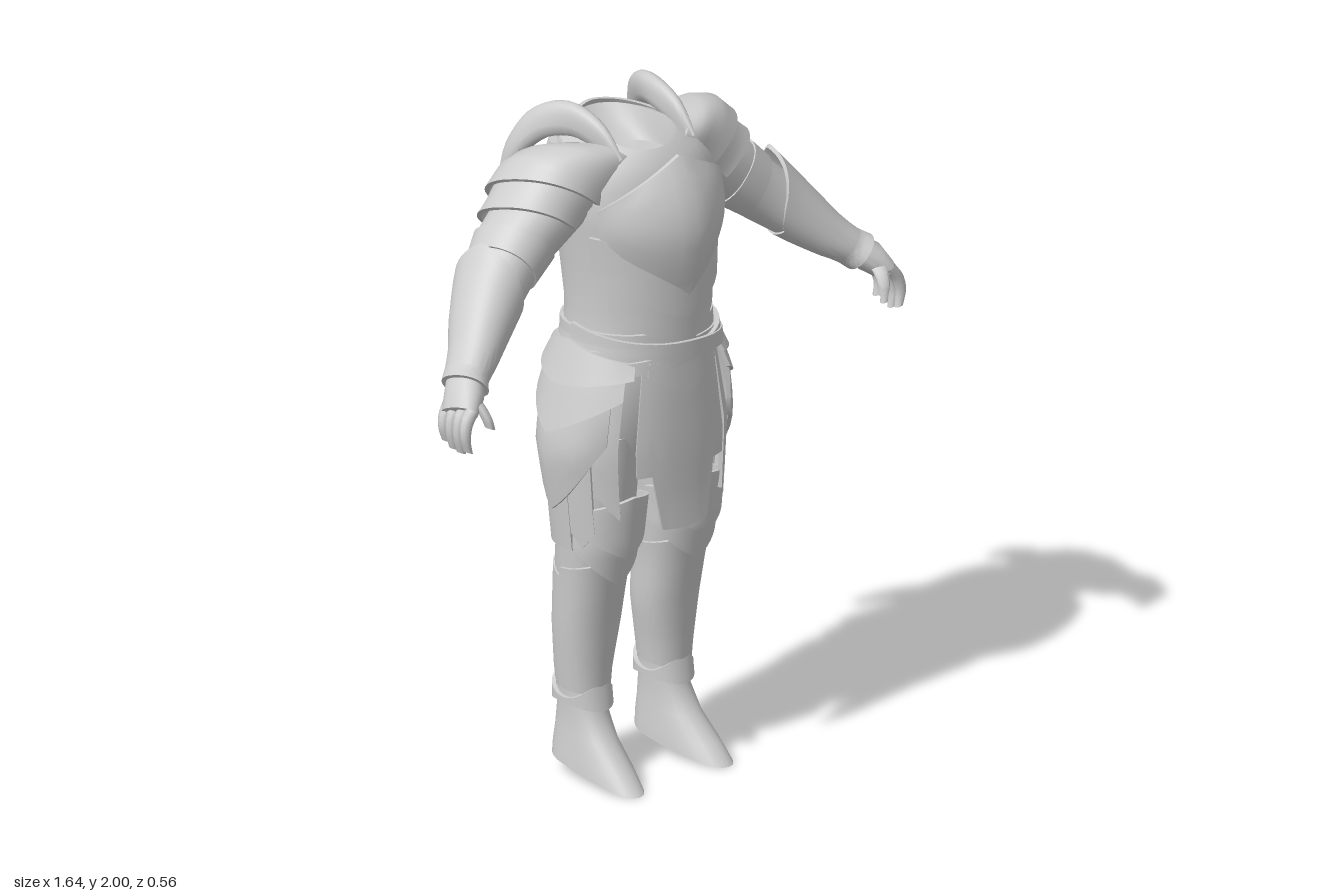
import * as THREE from 'three';
import { toCreasedNormals } from 'three/addons/utils/BufferGeometryUtils.js';

const steel = new THREE.MeshStandardMaterial({ color: 0xcccccc, side: THREE.DoubleSide });
steel.name = 'pale steel';
const V = (x, y, z) => new THREE.Vector3(x, y, z);
const rad = THREE.MathUtils.degToRad;

// Grid of points turned into a mesh with sharp plate edges
function gridMesh(name, nu, nv, point) {
  const pos = [], index = [];
  for (let j = 0; j <= nv; j++) for (let i = 0; i <= nu; i++) pos.push(...point(i, j).toArray());
  for (let j = 0; j < nv; j++) for (let i = 0; i < nu; i++) {
    const a = j * (nu + 1) + i, b = a + nu + 1;
    index.push(a, b, a + 1, a + 1, b, b + 1);
  }
  const g = new THREE.BufferGeometry();
  g.setAttribute('position', new THREE.Float32BufferAttribute(pos, 3));
  g.setIndex(index);
  const mesh = new THREE.Mesh(toCreasedNormals(g, 0.7), steel);
  mesh.name = name;
  return mesh;
}

// Surface from rows [t, cx, cy, cz, side radius, front radius, back radius]
function surface(rows, X = V(1, 0, 0), Z = V(0, 0, 1)) {
  const down = rows[0][0] > rows[1][0] ? -1 : 1;
  const at = (a, t, off = 0) => {
    let k = 0;
    while (k < rows.length - 2 && (t - rows[k + 1][0]) * down > 0) k++;
    const f = (t - rows[k][0]) / (rows[k + 1][0] - rows[k][0]);
    const r = rows[k].map((v, i) => v + (rows[k + 1][i] - v) * f);
    const s = Math.sin(a), c = Math.cos(a), bend = v => Math.sign(v) * Math.abs(v) ** 0.9;
    return V(r[1], r[2], r[3]).addScaledVector(X, bend(s) * (r[4] + off))
      .addScaledVector(Z, bend(c) * ((c > 0 ? r[5] : r[6]) + off));
  };
  at.rows = rows;
  return at;
}
const upright = rows => surface(rows.map(([y, cx, cz, ...r]) => [y, cx, y, cz, ...r]));

// Full closed tube over a surface
function tube(name, at, capTop = true, capEnd = true, bendPoint = p => p) {
  const ts = at.rows.map(r => r[0]), n = ts.length, N = 28;
  return gridMesh(name, N, n + 1, (i, j) => {
    const k = Math.min(Math.max(j - 1, 0), n - 1), r = at.rows[k];
    const center = (j === 0 && capTop) || (j === n + 1 && capEnd);
    return bendPoint(center ? V(r[1], r[2], r[3]) : at(i / N * Math.PI * 2, ts[k]));
  });
}

// Raised plate wrapped on a surface; u runs -1..1 across, v runs 0..1 down
const val = (f, ...x) => typeof f === 'function' ? f(...x) : f;
function plate(name, at, a0, a1, top, bottom, off = 0.015) {
  const nu = Math.max(12, Math.ceil((a1 - a0) / 8 / 2) * 2), nv = 8;
  return gridMesh(name, nu + 2, nv + 2, (i, j) => {
    const rim = i === 0 || j === 0 || i === nu + 2 || j === nv + 2;
    const s = THREE.MathUtils.clamp((i - 1) / nu, 0, 1), v = THREE.MathUtils.clamp((j - 1) / nv, 0, 1);
    const u = s * 2 - 1, t0 = val(top, u), t1 = val(bottom, u);
    const o = val(off, u, v);
    return at(rad(a0 + (a1 - a0) * s), t0 + (t1 - t0) * v, rim ? o - 0.012 : o);
  });
}
const vee = (tip, rise) => u => tip + rise * Math.abs(u);

const torso = upright([
  [1.915, 0, 0, 0.115, 0.12, 0.19], [1.885, 0, 0, 0.19, 0.15, 0.215], [1.8, 0, 0, 0.24, 0.175, 0.218],
  [1.68, 0, 0, 0.228, 0.19, 0.202], [1.55, 0, 0, 0.214, 0.195, 0.18], [1.42, 0, 0, 0.208, 0.195, 0.155],
  [1.34, 0, 0, 0.212, 0.195, 0.155], [1.24, 0, 0, 0.23, 0.195, 0.17], [1.1, 0, 0, 0.24, 0.17, 0.165],
  [1, 0, 0, 0.23, 0.14, 0.15]]);
const skirt = upright([
  [1.34, 0, 0, 0.212, 0.195, 0.16], [1.2, 0, 0, 0.245, 0.2, 0.175], [1.02, 0, 0, 0.283, 0.205, 0.17],
  [0.85, 0, 0, 0.27, 0.205, 0.16], [0.7, 0, 0, 0.255, 0.215, 0.15]]);

function buildTorso() {
  const g = new THREE.Group();
  g.name = 'torso';
  // The neckline dips towards the front
  const dip = p => V(p.x, p.y - 0.22 * Math.max(0, p.z) * THREE.MathUtils.clamp((p.y - 1.82) / 0.08, 0, 1), p.z);
  g.add(tube('torsoShell', torso, false, true, dip));
  g.add(tube('neckOpening', upright([[1.915, 0, 0, 0.115, 0.12, 0.19], [1.87, 0, 0, 0.105, 0.11, 0.15],
    [1.83, 0, 0.01, 0.1, 0.1, 0.1]]), false, true, dip));
  g.add(plate('backCollar', upright([[1.95, 0, 0, 0.105, 0.1, 0.17], [1.86, 0, 0, 0.16, 0.14, 0.21]]),
    85, 275, u => 1.935 - 0.025 * Math.abs(u), 1.87, 0.012));
  // Chest and belly armour
  g.add(plate('bellyPlate', torso, -60, 60, 1.6, vee(1.31, 0.13), u => 0.008 + 0.012 * (1 - Math.abs(u))));
  g.add(plate('ribPlate', torso, -72, 72, 1.66, vee(1.41, 0.12), u => 0.014 + 0.022 * (1 - Math.abs(u))));
  g.add(plate('breastplate', torso, -62, 62, u => 1.885 - 0.14 * Math.abs(u), u => 1.48 + 0.17 * Math.abs(u) ** 0.8,
    (u, v) => 0.014 + (1 - Math.abs(u)) * (0.03 + 0.045 * Math.sin(Math.PI * v))));
  // Back chevrons
  [[1.46, 0.14, 55], [1.58, 0.15, 60], [1.69, 0.13, 56]].forEach(([tip, rise, h], i) =>
    g.add(plate('backChevron', torso, 180 - h, 180 + h, 1.87, vee(tip, rise), 0.006 + i * 0.007)));
  // Belts and crossing sash
  g.add(plate('belt', torso, 0, 360, 1.37, 1.32, 0.01));
  g.add(plate('lowerBelt', torso, 0, 360, u => 1.31 - 0.02 * Math.cos(u * Math.PI), u => 1.26 - 0.02 * Math.cos(u * Math.PI), 0.016));
  g.add(plate('sash', torso, -90, 90, u => 1.335 - 0.05 * u, u => 1.29 - 0.05 * u, u => 0.036 - 0.016 * u * u));
  g.add(plate('sash', torso, -60, 85, u => 1.315 + 0.03 * u, u => 1.275 + 0.03 * u, u => 0.03 - 0.012 * u * u));
  // Front tabard and rear chevrons over the skirt
  g.add(plate('tabard', skirt, -30, 30, 1.26, u => Math.abs(u) > 0.64 ? 0.95 : 0.775 + 0.02 * Math.abs(u), 0.016));
  g.add(plate('buckleFlap', skirt, -26, 26, 1.29, vee(1.17, 0.08), 0.026));
  [[1.05, 0.12, 36], [1.14, 0.1, 42]].forEach(([tip, rise, h], i) =>
    g.add(plate('rearFlap', skirt, 180 - h, 180 + h, 1.28, vee(tip, rise), (u, v) => 0.014 + i * 0.008 + 0.01 * v)));
  return g;
}

function buildHip() {
  const g = new THREE.Group();
  g.name = 'hipPlates';
  g.add(plate('backSkirtPanel', skirt, 82, 177, 1.3, 0.715, 0.006));
  g.add(plate('thighStrip', skirt, 42, 60, 1.25, u => 0.86 + 0.04 * u, 0.002));
  g.add(plate('thighStrip', skirt, 62, 84, 1.25, u => 0.73 + 0.05 * Math.abs(u), 0.004));
  g.add(plate('longTasset', skirt, 50, 142, 1.3, u => 0.83 + 0.22 * Math.abs(u) ** 1.2,
    (u, v) => 0.016 + 0.012 * Math.sin(v * Math.PI)));
  g.add(plate('shortTasset', skirt, 42, 146, vee(1.31, -0.03), vee(1.07, 0.12), (u, v) => 0.018 + 0.02 * v));
  g.add(plate('hipBand', skirt, 36, 152, vee(1.33, -0.04), vee(1.21, 0.04), (u, v) => 0.02 + 0.018 * v));
  return g;
}

function buildLeg() {
  const g = new THREE.Group();
  g.name = 'leg';
  const leg = upright([
    [1.05, 0.13, 0, 0.11, 0.13, 0.13], [0.85, 0.14, 0, 0.108, 0.115, 0.12], [0.72, 0.143, 0, 0.102, 0.1, 0.11],
    [0.6, 0.146, -0.01, 0.09, 0.078, 0.112], [0.45, 0.145, -0.03, 0.084, 0.07, 0.1],
    [0.32, 0.15, -0.04, 0.068, 0.064, 0.085], [0.22, 0.15, -0.04, 0.058, 0.06, 0.075]]);
  g.add(tube('legShell', leg));
  g.add(plate('calfPlate', leg, 92, 268, vee(0.66, -0.06), vee(0.26, 0.02), 0.004));
  g.add(plate('greave', leg, -100, 100, vee(0.68, -0.04), vee(0.25, 0.02), u => 0.009 + 0.006 * (1 - Math.abs(u))));
  g.add(plate('lowerKneePlate', leg, -92, 92, 0.8, vee(0.6, 0.15), (u, v) => 0.012 + (0.012 + 0.012 * v) * (1 - Math.abs(u))));
  g.add(plate('kneePlate', leg, -80, 80, vee(0.88, -0.05), vee(0.69, 0.11), u => 0.018 + 0.03 * (1 - Math.abs(u))));
  // Boot with a sole sloping down to the toe
  const boot = upright([
    [0.27, 0.15, -0.04, 0.062, 0.064, 0.08], [0.2, 0.15, -0.04, 0.06, 0.078, 0.082], [0.14, 0.151, -0.04, 0.064, 0.128, 0.086],
    [0.09, 0.152, -0.04, 0.072, 0.205, 0.09], [0.055, 0.153, -0.04, 0.075, 0.255, 0.09]]);
  g.add(tube('boot', boot, false, true, p => {
    const slope = 0.16 * (p.z + 0.13) * THREE.MathUtils.clamp((0.27 - p.y) / 0.215, 0, 1);
    return V(p.x + Math.max(0, p.z) * 0.06, p.y - slope, p.z);
  }));
  g.add(plate('ankleCuff', boot, -180, 180, u => 0.26 + 0.02 * Math.cos(u * Math.PI * 2), u => 0.215 - 0.01 * Math.cos(u * Math.PI * 2), 0.014));
  return g;
}

function buildArm() {
  const g = new THREE.Group();
  g.name = 'arm';
  const X = V(0.64, 0.77, 0).normalize(), D = V(0.72, -0.6, 0.35).normalize();
  const Z = D.clone().cross(X).normalize();
  const arm = surface([
    [0.18, 0.18, 1.8, -0.05, 0.09, 0.13, 0.13], [0.3, 0.3, 1.725, -0.055, 0.107, 0.13, 0.125],
    [0.4, 0.4, 1.65, -0.05, 0.099, 0.115, 0.11], [0.47, 0.47, 1.59, -0.03, 0.088, 0.1, 0.095],
    [0.53, 0.53, 1.54, -0.005, 0.082, 0.09, 0.088], [0.6, 0.6, 1.475, 0.035, 0.07, 0.078, 0.08],
    [0.66, 0.66, 1.42, 0.075, 0.055, 0.064, 0.066], [0.71, 0.71, 1.385, 0.105, 0.045, 0.055, 0.06],
    [0.75, 0.75, 1.355, 0.14, 0.045, 0.06, 0.06], [0.79, 0.785, 1.315, 0.163, 0.032, 0.055, 0.06]], X, Z);
  g.add(tube('armShell', arm));
  g.add(plate('elbowBand', arm, -60, 240, 0.4, u => 0.45 + 0.02 * Math.abs(u), 0.006));
  // Forearm guard flaring to a point at the elbow
  g.add(plate('forearmGuard', arm, -50, 230, u => 0.455 + 0.1 * Math.abs(u), 0.71,
    (u, v) => 0.008 + 0.026 * (1 - v) ** 2 * (1 - Math.abs(u))));
  g.add(plate('innerForearmGuard', arm, 215, 325, 0.56, 0.7, 0.006));
  g.add(plate('wristCuff', arm, 0, 360, 0.685, 0.73, (u, v) => 0.006 + 0.006 * v));
  // Overlapping shoulder plates, largest on top
  const shoulder = surface([
    [0, 0.13, 1.83, -0.035, 0.09, 0.135, 0.165], [1, 0.19, 1.82, -0.045, 0.118, 0.148, 0.157],
    [2, 0.25, 1.785, -0.055, 0.13, 0.147, 0.147], [3, 0.3, 1.745, -0.055, 0.118, 0.138, 0.135],
    [4, 0.34, 1.71, -0.052, 0.108, 0.125, 0.123], [5, 0.38, 1.67, -0.05, 0.102, 0.118, 0.115]], X, Z);
  [[2.2, 4.7, 0.004], [0, 3.2, 0.01]].forEach(([a, b, off]) =>
    g.add(plate('shoulderPlate', shoulder, -18, 205, a, u => b - 0.6 * u * u, (u, v) => off + 0.014 * v * v)));
  // Curved crest sweeping from the collar to the shoulder blade, its root sunk in the shoulder
  const path = new THREE.CatmullRomCurve3([V(0.135, 1.875, 0.1), V(0.14, 1.94, 0.02), V(0.152, 1.965, -0.09),
    V(0.185, 1.932, -0.18), V(0.222, 1.85, -0.238), V(0.252, 1.725, -0.272)]);
  g.add(gridMesh('shoulderCrest', 14, 22, (i, j) => {
    const t = j / 22, c = path.getPoint(t), a = i / 14 * Math.PI * 2, s = Math.sin(a);
    const w = Math.sqrt(Math.max(0, Math.sin(Math.PI * (0.03 + 0.97 * t) ** 1.15)));
    const out = V(0, c.y - 1.75, c.z + 0.02).normalize();
    const wide = (0.022 + 0.014 * t) * (s < 0 ? 1 - 0.5 * s : 1);
    return c.add(V(Math.cos(a) * wide * w, 0, 0)).addScaledVector(out, s * (s > 0 ? 0.036 : 0.09 - 0.05 * t) * w);
  }));
  // Fingers and thumb
  const digit = (name, r, ...pts) => {
    const curve = new THREE.CatmullRomCurve3(pts);
    g.add(gridMesh(name, 10, 9, (i, j) => {
      const t = Math.min(j, 8) / 8, a = i / 10 * Math.PI * 2, k = j === 9 ? 0 : r * (1 - 0.35 * t);
      return curve.getPoint(t).add(V(Math.cos(a) * k, Math.cos(a) * k * 0.4, Math.sin(a) * k));
    }));
  };
  [0.112, 0.143, 0.174, 0.203].forEach((z, i) => {
    const l = [0.85, 1, 1.03, 0.92][i];
    digit('finger', 0.02, V(0.77, 1.335, z - 0.005), V(0.797, 1.3, z), V(0.807, 1.3 - 0.045 * l, z + 0.006), V(0.798, 1.3 - 0.09 * l, z + 0.008));
  });
  digit('thumb', 0.022, V(0.745, 1.355, 0.17), V(0.74, 1.33, 0.2), V(0.735, 1.3, 0.22), V(0.73, 1.275, 0.226));
  return g;
}

export function createModel() {
  const model = new THREE.Group();
  model.name = 'plateArmour';
  model.add(buildTorso());
  for (const [name, side] of [['leftSide', 1], ['rightSide', -1]]) {
    const half = new THREE.Group();
    half.name = name;
    half.add(buildHip(), buildLeg(), buildArm());
    half.scale.x = side;
    model.add(half);
  }
  return model;
}
